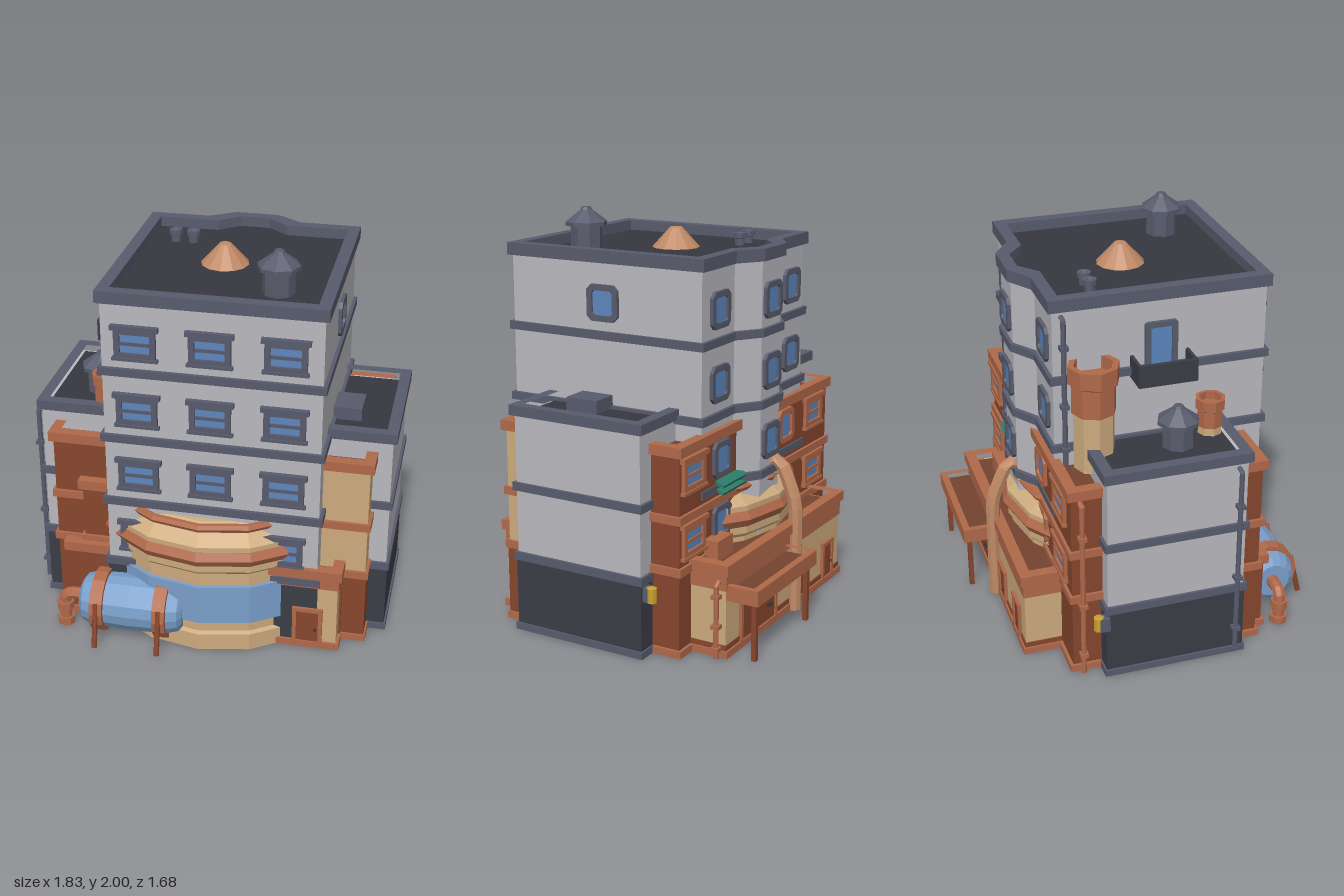
import * as THREE from 'three';

const C = {
  wall: 0xb9b8be, trim: 0x585b6c, base: 0x3b3d47, roof: 0x36383f, brick: 0x86462d, clay: 0xb0694a,
  deck: 0x74422f, tan: 0xcdab7e, blue: 0x7a9fca, glass: 0x5d86bd, pipe: 0xc08a66, gold: 0xc9a032, teal: 0x2c7d68,
};
const mats = {};
const mat = (c) => (mats[c] ??= new THREE.MeshStandardMaterial({ color: C[c], flatShading: true }));

export function createModel() {
  const root = new THREE.Group();
  const add = (name, geo, color, parent = root) => {
    const m = new THREE.Mesh(geo, mat(color));
    m.name = name;
    parent.add(m);
    return m;
  };
  const box = (name, color, x0, x1, y0, y1, z0, z1, parent) => {
    const m = add(name, new THREE.BoxGeometry(x1 - x0, y1 - y0, z1 - z0), color, parent);
    m.position.set((x0 + x1) / 2, (y0 + y1) / 2, (z0 + z1) / 2);
    return m;
  };
  // Upright prism from a plan outline of [x, z] points, with an optional hole
  const slab = (name, color, pts, y0, y1, hole) => {
    const toV = (p) => new THREE.Vector2(p[0], -p[1]);
    const s = new THREE.Shape(pts.map(toV));
    if (hole) s.holes.push(new THREE.Path(hole.map(toV)));
    const g = new THREE.ExtrudeGeometry(s, { depth: y1 - y0, bevelEnabled: false });
    g.rotateX(-Math.PI / 2).translate(0, y0, 0);
    return add(name, g, color);
  };
  const rect = (x0, x1, z0, z1, o = 0) => [[x0 - o, z0 - o], [x1 + o, z0 - o], [x1 + o, z1 + o], [x0 - o, z1 + o]];
  const tube = (name, color, pts, r) => add(name, new THREE.TubeGeometry(
    new THREE.CatmullRomCurve3(pts.map((p) => new THREE.Vector3(...p)), false, 'catmullrom', 0.2), 16, r, 8), color);
  const lathe = (name, color, pts, n, x, y, z) => {
    const m = add(name, new THREE.LatheGeometry(pts.map((p) => new THREE.Vector2(...p)), n), color);
    m.position.set(x, y, z);
    return m;
  };
  // Flat-roofed block with a raised parapet, string courses and a plinth
  const block = (name, x0, x1, z0, z1, h, o) => {
    const r = rect(x0, x1, z0, z1);
    slab(name, o.wall, r, 0, h - 0.05);
    slab(name + 'Roof', o.roof, rect(x0, x1, z0, z1, -0.02), h - 0.06, h - 0.045);
    slab(name + 'Parapet', o.trim, rect(x0, x1, z0, z1, 0.02), h - 0.05, h, rect(x0, x1, z0, z1, -0.035));
    for (const y of o.bands) slab(name + 'Band', o.trim, rect(x0, x1, z0, z1, 0.015), y, y + 0.04);
    if (o.plinth) slab(name + 'Plinth', o.base, rect(x0, x1, z0, z1, 0.006), 0, o.plinth);
    slab(name + 'Footing', o.base === 'base' ? 'trim' : 'clay', rect(x0, x1, z0, z1, 0.015), 0, 0.035);
  };

  // Tower with a canted bay at the back
  const plan = (o) => [
    [-0.47 - o, 0.575 + o], [0.58 + o, 0.575 + o], [0.58 + o, -0.475 - o], [0.27 + o, -0.475 - o],
    [0.15 + o * 0.6, -0.56 - o], [-0.05 - o * 0.6, -0.56 - o], [-0.17 - o, -0.475 - o], [-0.47 - o, -0.475 - o]];
  slab('towerWall', 'wall', plan(0), 0, 1.78);
  slab('towerBase', 'base', plan(0.006), 0, 0.36);
  slab('towerRoof', 'roof', plan(-0.01), 1.775, 1.788);
  slab('towerParapet', 'trim', plan(0.02), 1.78, 1.84, plan(-0.04));
  for (const y of [0.36, 0.71, 1.06, 1.415]) slab('towerBand', 'trim', plan(0.018), y, y + 0.04);

  // Side wings
  const grey = { wall: 'wall', roof: 'roof', trim: 'trim', base: 'base', plinth: 0.36, bands: [0.36, 0.71] };
  block('leftWing', 0.4, 0.895, -0.335, 0.355, 1.13, grey);
  block('rightWing', -0.86, -0.4, -0.335, 0.355, 1.13, grey);
  box('wingRoofHatch', 'trim', 0.58, 0.72, 1.08, 1.15, 0.01, 0.18);

  // Brick and plaster annexes
  const brick = { wall: 'brick', roof: 'deck', trim: 'clay', base: 'brick', plinth: 0, bands: [0.4, 0.65] };
  const plaster = { ...brick, wall: 'tan', plinth: 0.37, bands: [0.37, 0.645] };
  block('frontBrickAnnex', -0.77, -0.4, 0.2, 0.47, 1.02, brick);
  block('frontBrickStep', -0.62, -0.36, 0.3, 0.5, 0.78, { ...brick, bands: [0.42] });
  block('frontBrickLow', -0.7, -0.34, 0.3, 0.53, 0.43, { ...brick, bands: [] });
  block('plasterAnnex', 0.4, 0.805, 0.2, 0.475, 1.02, plaster);
  block('entrance', 0.33, 0.685, 0.25, 0.58, 0.46, { ...plaster, plinth: 0.03, bands: [] });
  box('entranceFrieze', 'clay', 0.37, 0.69, 0.35, 0.41, 0.3, 0.586);
  box('entrancePost', 'brick', 0.62, 0.695, 0, 0.41, 0.4, 0.5);
  block('backBrickLeft', 0.25, 0.8, -0.485, -0.2, 1.02, brick);
  block('backBrickRight', -0.775, -0.1, -0.485, -0.2, 1.02, brick);
  block('backGroundFloor', -0.57, 0.69, -0.67, -0.3, 0.46, { ...plaster, plinth: 0.06, bands: [] });
  box('backFrieze', 'clay', -0.576, 0.696, 0.33, 0.41, -0.676, -0.4);
  box('backRoofBox', 'clay', 0.42, 0.57, 0.4, 0.51, -0.56, -0.48);

  // Round hall through the middle of the tower
  const hx = 0.01, hz = 0.06;
  const hall = (name, color, pts) => lathe(name, color, pts, 16, hx, 0, hz);
  hall('hallBase', 'tan', [[0, 0], [0.665, 0], [0.665, 0.09], [0.645, 0.1], [0.645, 0.17]]);
  hall('hallBlueBand', 'blue', [[0.64, 0.16], [0.665, 0.16], [0.665, 0.37], [0.64, 0.37]]);
  hall('hallDrum', 'tan', [[0.645, 0.36], [0.645, 0.44], [0.665, 0.46], [0.665, 0.6], [0.6, 0.65], [0.55, 0.68], [0, 0.69]]);
  for (const [r, t, y] of [[0.645, 0.045, 0.535], [0.61, 0.022, 0.68]]) {
    const g = new THREE.TorusGeometry(r, t, 6, 16).rotateX(Math.PI / 2);
    add('hallRing', g, 'clay').position.set(hx, y, hz);
  }

  // Windows: frame with a hole, glass, and either bars and lintels or chamfered corners
  const frameGeo = (w, h, t, c, d) => {
    const outline = (W, H, k) => [[-W + k, -H], [W - k, -H], [W, -H + k], [W, H - k], [W - k, H], [-W + k, H], [-W, H - k], [-W, -H + k]]
      .map((p) => new THREE.Vector2(...p));
    const s = new THREE.Shape(outline(w / 2, h / 2, c));
    s.holes.push(new THREE.Path(outline(w / 2 - t, h / 2 - t, c * 0.5)));
    return new THREE.ExtrudeGeometry(s, { depth: d, bevelEnabled: false });
  };
  const windowAt = (x, y, z, ry, wide, color = 'trim') => {
    const g = new THREE.Group();
    g.name = 'window';
    g.position.set(x, y, z);
    g.rotation.y = ry;
    root.add(g);
    const w = wide ? 0.2 : 0.17, h = wide ? 0.15 : 0.175;
    add('windowFrame', frameGeo(w, h, 0.028, wide ? 0.002 : 0.025, 0.018), color, g);
    box('glass', 'glass', -w / 2 + 0.02, w / 2 - 0.02, -h / 2 + 0.02, h / 2 - 0.02, -0.01, 0.006, g);
    if (wide) {
      box('lintel', color, -0.115, 0.115, 0.068, 0.092, -0.005, 0.026, g);
      box('sill', color, -0.11, 0.11, -0.085, -0.07, -0.005, 0.024, g);
      box('bar', color, -0.08, 0.08, -0.01, 0.006, -0.005, 0.013, g);
    }
  };
  for (const y of [1.585, 1.235, 0.885]) {
    for (const x of [-0.305, 0.05, 0.405]) windowAt(x, y, 0.575, 0, true);
    windowAt(0.05, y, -0.56, Math.PI, false);
    if (y > 1) for (const x of [-0.33, 0.42]) windowAt(x, y, -0.475, Math.PI, false);
  }
  for (const x of [-0.305, 0.405]) windowAt(x, 0.535, 0.575, 0, true);
  windowAt(0.58, 1.59, 0.055, Math.PI / 2, false);
  for (const y of [0.87, 0.555]) {
    for (const x of [0.68, -0.6]) windowAt(x, y, -0.485, Math.PI, true, 'clay');
    windowAt(0.41, y, -0.485, Math.PI, false);
    windowAt(-0.27, y, -0.485, Math.PI, false, 'clay');
  }

  // Doors
  const door = (x, z, w, h, ry) => {
    const g = new THREE.Group();
    g.name = 'door';
    g.position.set(x, 0.03, z);
    g.rotation.y = ry;
    root.add(g);
    box('doorLeaf', 'brick', -w / 2, w / 2, 0, h, -0.01, 0.008, g);
    for (const s of [-1, 1]) box('doorJamb', 'clay', s * w / 2 - 0.01, s * w / 2 + 0.01, 0, h, -0.01, 0.016, g);
    box('doorHead', 'clay', -w / 2 - 0.012, w / 2 + 0.012, h, h + 0.02, -0.01, 0.018, g);
    box('handle', 'roof', w * 0.25, w * 0.35, h * 0.4, h * 0.46, 0, 0.02, g);
  };
  door(0.54, 0.58, 0.13, 0.18, 0);
  door(-0.12, -0.67, 0.12, 0.18, Math.PI);
  door(-0.42, -0.67, 0.11, 0.18, Math.PI);
  door(0.37, -0.67, 0.36, 0.2, Math.PI);

  // Back awning on posts
  slab('awningRim', 'clay', rect(0.06, 0.69, -0.835, -0.66), 0.285, 0.36, rect(0.09, 0.66, -0.8, -0.67));
  box('awningDeck', 'deck', 0.08, 0.67, 0.295, 0.33, -0.82, -0.66);
  for (const x of [0.1, 0.65]) box('awningPost', 'brick', x - 0.012, x + 0.012, 0, 0.29, -0.812, -0.788);

  // Small slatted shade
  for (const i of [0, 1]) {
    const s = box('shadeSlat', 'teal', 0.22, 0.46, 0.745 - i * 0.035, 0.76 - i * 0.035, -0.53, -0.48);
    s.rotation.x = -0.4;
  }

  // Tank on strapped legs, with a drain elbow
  const tank = lathe('tank', 'blue', [[0, -0.265], [0.09, -0.265], [0.12, -0.245], [0.138, -0.19], [0.145, 0],
    [0.138, 0.19], [0.12, 0.245], [0.09, 0.265], [0, 0.265]], 16, -0.335, 0.175, 0.635);
  tank.rotation.z = Math.PI / 2;
  for (const x of [-0.495, -0.175]) {
    const strap = add('tankStrap', new THREE.CylinderGeometry(0.16, 0.16, 0.065, 16), 'clay');
    strap.position.set(x, 0.175, 0.635);
    strap.rotation.z = Math.PI / 2;
    tube('tankLeg', 'brick', [[x, 0.24, 0.775], [x, 0.13, 0.8], [x, 0.01, 0.83]], 0.014);
    tube('tankLeg', 'brick', [[x, 0.2, 0.5], [x, 0.01, 0.48]], 0.014);
  }
  tube('tankElbow', 'clay', [[-0.59, 0.18, 0.63], [-0.67, 0.18, 0.63], [-0.7, 0.15, 0.63], [-0.7, 0, 0.63]], 0.032);
  for (const y of [0.02, 0.11]) lathe('elbowCollar', 'clay', [[0, -0.02], [0.045, -0.02], [0.045, 0.02], [0, 0.02]], 8, -0.7, y, 0.63);

  // Chimneys
  const chimney = (x, z, r, y0, y1) => {
    const h = y1 - y0;
    lathe('chimneyShaft', 'tan', [[r * 0.8, 0], [r * 0.8, h * 0.58]], 8, x, y0, z);
    lathe('chimneyTop', 'clay', [[r * 0.75, h * 0.54], [r * 0.87, h * 0.55], [r * 0.87, h * 0.82], [r, h * 0.84], [r, h],
      [r * 0.75, h], [r * 0.75, h * 0.88], [0, h * 0.88]], 8, x, y0, z);
  };
  chimney(-0.54, -0.3, 0.125, 1.0, 1.53);
  chimney(-0.54, 0.28, 0.075, 0.95, 1.27);

  // Roof vents, cone and stubs
  const cowl = (x, y, z) => lathe('ventCowl', 'trim', [[0, 0], [0.078, 0], [0.078, 0.12], [0.103, 0.12], [0.103, 0.14],
    [0.03, 0.195], [0.022, 0.21], [0, 0.21]], 8, x, y, z);
  cowl(0.32, 1.79, 0.32);
  cowl(-0.62, 1.085, 0.09);
  lathe('roofCone', 'pipe', [[0.12, 0], [0.03, 0.1], [0, 0.102]], 12, 0, 1.787, 0);
  for (const x of [-0.305, -0.215]) lathe('roofStub', 'trim', [[0.025, 0], [0.025, 0.035], [0.035, 0.038], [0.035, 0.062], [0.02, 0.062], [0, 0.05]], 8, x, 1.787, -0.245);

  // Side balcony with its door
  box('balconyFloor', 'base', -0.6, -0.46, 1.4, 1.42, -0.1, 0.19);
  box('balconyFront', 'base', -0.605, -0.585, 1.4, 1.51, -0.1, 0.19);
  for (const z of [-0.1, 0.175]) box('balconySide', 'base', -0.6, -0.46, 1.4, 1.51, z, z + 0.015);
  const bd = add('balconyDoorFrame', frameGeo(0.16, 0.25, 0.028, 0.01, 0.02), 'trim');
  bd.position.set(-0.468, 1.545, 0.05);
  bd.rotation.y = -Math.PI / 2;
  box('balconyDoorGlass', 'glass', -0.478, -0.46, 1.44, 1.65, -0.01, 0.11);

  // Drainpipes and the large back pipe
  tube('backPipe', 'pipe', [[0, 0.75, -0.53], [0, 0.77, -0.59], [0, 0.72, -0.625], [0, 0.56, -0.685], [0, 0.3, -0.69], [0, 0, -0.69]], 0.036);
  const drain = (color, x, z, y0, y1, dx, dz) => {
    tube('drainpipe', color, [[x + dx, y1, z + dz], [x, y1, z], [x, y1 - 0.03, z], [x, y0, z]], 0.013);
    for (const t of [0.1, 0.4, 0.8]) box('pipeClip', color, x - 0.02, x + 0.02, y0 + (y1 - y0) * t, y0 + (y1 - y0) * t + 0.02, z - 0.02, z + 0.02);
  };
  drain('trim', -0.895, 0.31, 0.05, 1.05, 0.04, 0);
  drain('trim', -0.505, -0.43, 1.0, 1.75, 0.04, 0);
  drain('clay', -0.805, -0.44, 0, 0.95, 0.04, 0);
  drain('clay', 0.72, -0.635, 0, 0.37, -0.04, 0);

  // Wall lamps
  for (const x of [-0.86, 0.87]) {
    box('lampBracket', 'trim', x - 0.03, x + 0.02, 0.28, 0.35, -0.38, -0.33);
    lathe('lamp', 'gold', [[0, -0.04], [0.025, -0.035], [0.025, 0.035], [0, 0.04]], 8, x, 0.315, -0.38);
  }
  return root;
}
